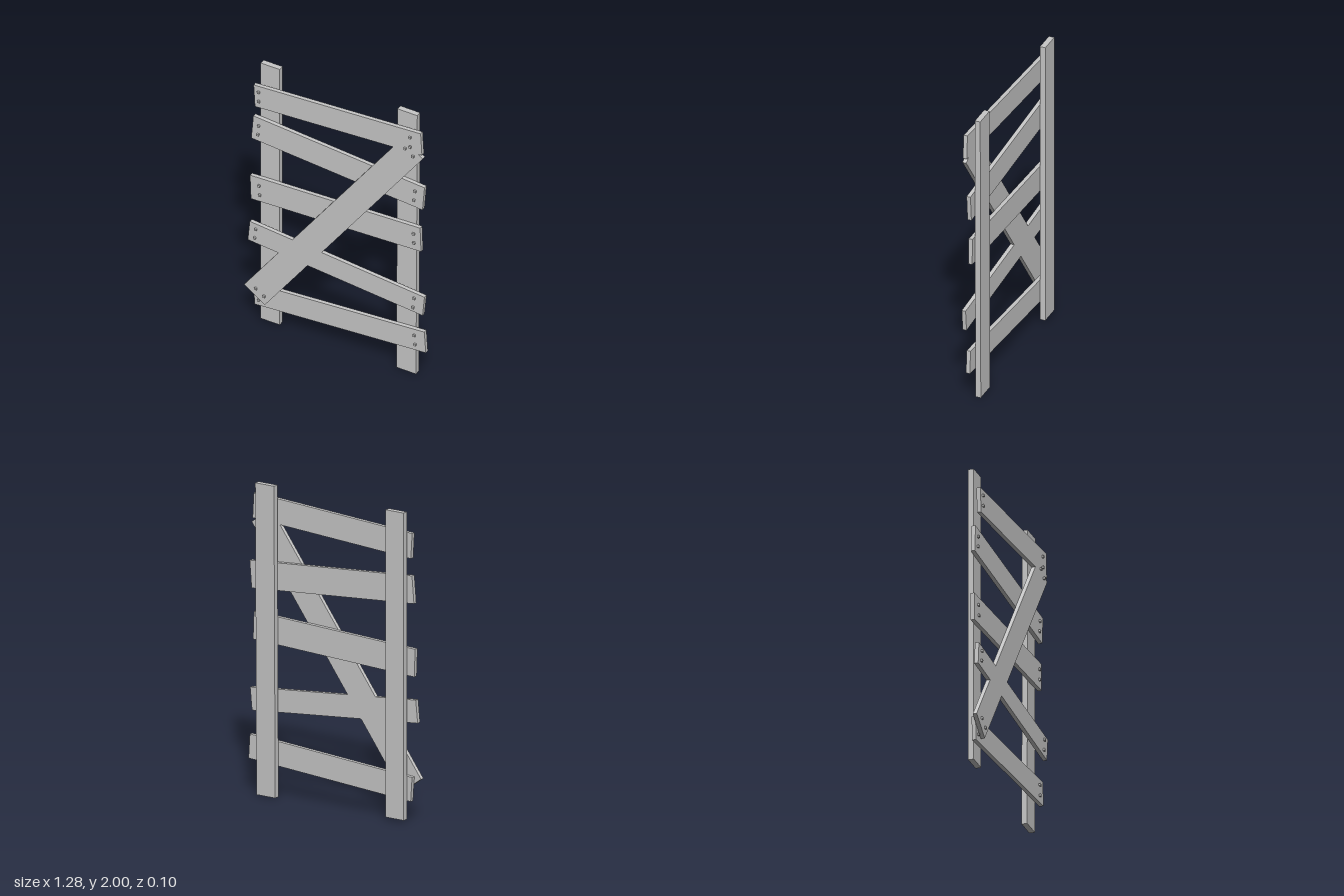
import * as THREE from 'three';

const grey = new THREE.MeshStandardMaterial({ color: 0xc8c8c8 });
grey.name = 'paleGrey';

// Depth layers, back to front: posts, rear planks, front planks
const POST = [-0.05, -0.014], REAR = [-0.014, 0.012], FRONT = [0.012, 0.038];
const NAIL_SIZE = 0.015, NAIL_HEIGHT = 0.012;

// Straight board between two end midpoints
function board(name, [x1, y1], [x2, y2], width, [z1, z2]) {
  const length = Math.hypot(x2 - x1, y2 - y1);
  const mesh = new THREE.Mesh(new THREE.BoxGeometry(length, width, z2 - z1), grey);
  mesh.name = name;
  mesh.position.set((x1 + x2) / 2, (y1 + y2) / 2, (z1 + z2) / 2);
  mesh.rotation.z = Math.atan2(y2 - y1, x2 - x1);
  return mesh;
}

// Board with square nail heads standing on its front face
function nailedBoard(name, a, b, width, layer, nails) {
  const group = new THREE.Group();
  group.name = name;
  const plank = board(name + 'Board', a, b, width, layer);
  group.add(plank);
  for (const [x, y] of nails) {
    const nail = new THREE.Mesh(new THREE.BoxGeometry(NAIL_SIZE, NAIL_SIZE, NAIL_HEIGHT), grey);
    nail.name = 'nail';
    nail.position.set(x, y, layer[1] + NAIL_HEIGHT / 2);
    nail.rotation.z = name === 'brace' ? 0 : plank.rotation.z;
    group.add(nail);
  }
  return group;
}

export function createModel() {
  const model = new THREE.Group();
  model.name = 'plankFence';

  // Upright posts, one of them slightly leaning
  model.add(board('rightPost', [-0.487, 0.017], [-0.487, 1.988], 0.135, POST));
  model.add(board('leftPost', [0.477, 0.001], [0.486, 1.999], 0.14, POST));

  // Crooked cross planks, top to bottom
  const planks = [
    [[-0.57, 1.764], [0.614, 1.831], 0.163, FRONT,
      [[-0.538, 1.804], [-0.536, 1.735], [0.536, 1.859], [0.538, 1.788]]],
    [[-0.599, 1.495], [0.615, 1.395], 0.177, REAR,
      [[-0.552, 1.523], [-0.557, 1.454], [0.557, 1.435], [0.549, 1.363]]],
    [[-0.612, 1.027], [0.594, 1.071], 0.179, REAR,
      [[-0.549, 1.061], [-0.544, 0.992], [0.546, 1.103], [0.549, 1.034]]],
    [[-0.609, 0.709], [0.63, 0.588], 0.147, FRONT,
      [[-0.557, 0.74], [-0.565, 0.671], [0.565, 0.629], [0.557, 0.557]]],
    [[-0.587, 0.212], [0.626, 0.291], 0.157, REAR,
      [[-0.552, 0.18], [0.552, 0.321], [0.557, 0.252]]],
  ];
  planks.forEach((p, i) => model.add(nailedBoard('crossPlank' + (i + 1), ...p)));

  // Diagonal brace
  model.add(nailedBoard('brace', [-0.569, 0.228], [0.553, 1.777], 0.18, FRONT,
    [[-0.557, 0.284], [-0.499, 0.244], [0.501, 1.761], [0.557, 1.721]]));

  return model;
}
